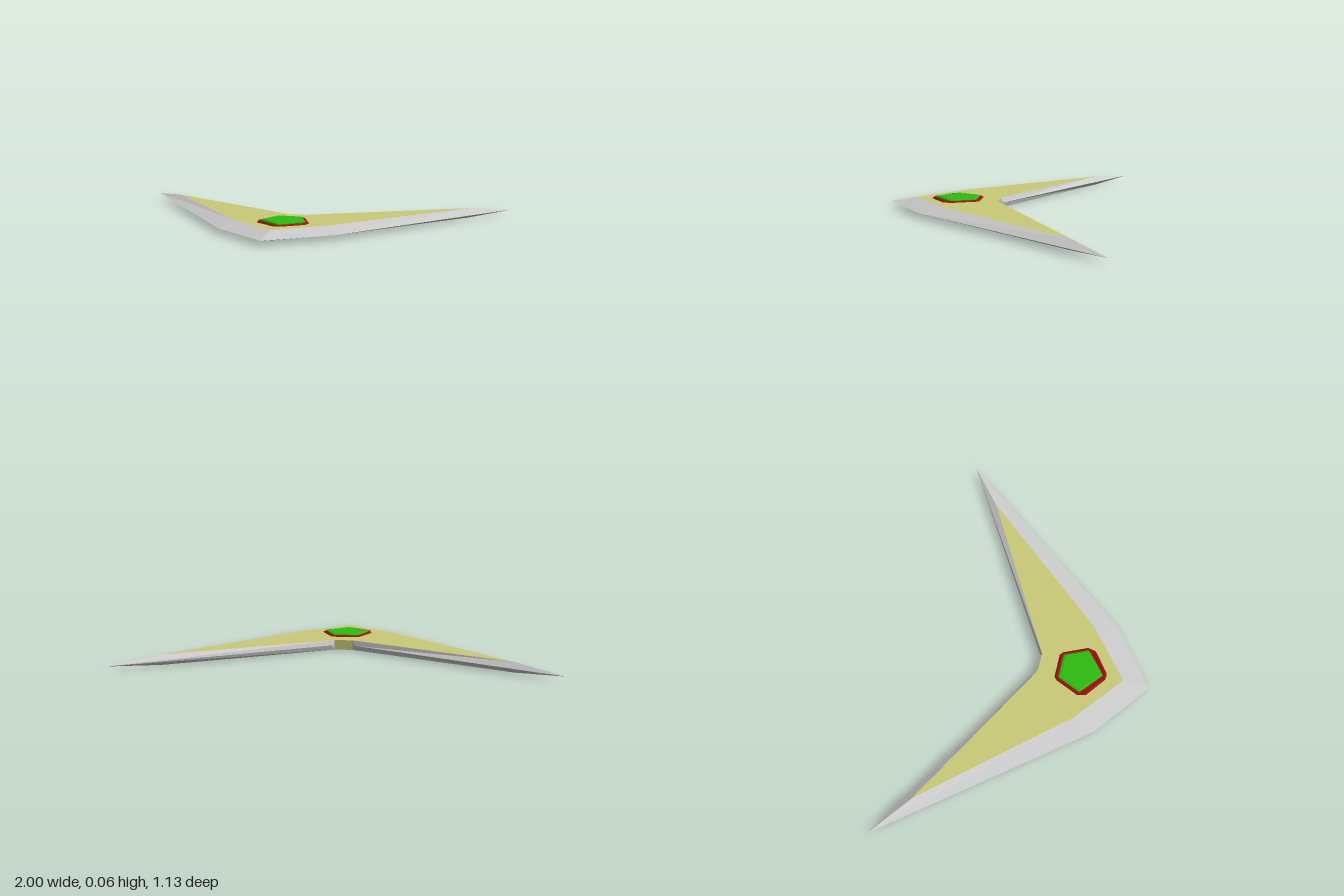
import * as THREE from 'three';

const TOP = 0.048, MID = 0.024;

// Half outlines [x, z] from the rear notch round to the nose
const INNER = [[0.045, 0.016], [0.8, -0.41], [0.245, 0.235], [0, 0.435]];
const EDGE = [[0.055, 0.0], [1, -0.57], [0.28, 0.35], [0, 0.565]];

// Mirror a half outline whose last point lies on x = 0
const mirror = (half) => [...half, ...half.slice(0, -1).reverse().map(([x, z]) => [-x, z])];

function meshFromTriangles(name, triangles, color) {
  const geometry = new THREE.BufferGeometry();
  geometry.setAttribute('position', new THREE.Float32BufferAttribute(triangles.flat(2), 3));
  geometry.computeVertexNormals();
  return named(name, geometry, color);
}

function named(name, geometry, color) {
  const mesh = new THREE.Mesh(geometry, new THREE.MeshStandardMaterial({ color, flatShading: true }));
  mesh.name = name;
  return mesh;
}

// Flat V-shaped core plate
function corePlate() {
  const shape = new THREE.Shape(mirror(INNER).map(([x, z]) => new THREE.Vector2(x, z)));
  const geometry = new THREE.ExtrudeGeometry(shape, { depth: TOP, bevelEnabled: false });
  geometry.rotateX(Math.PI / 2).translate(0, TOP, 0);
  return named('corePlate', geometry, 0xcaca78);
}

// Wedge-section blade running round the plate, open only at the rear notch
function bladeEdge() {
  const at = (points, y) => mirror(points).map(([x, z]) => [x, y, z]);
  const top = at(INNER, TOP), bottom = at(INNER, 0), edge = at(EDGE, MID);
  const last = edge.length - 1;
  const triangles = [
    [top[0], edge[0], bottom[0]],
    [top[last], bottom[last], edge[last]],
  ];
  for (let i = 0; i < last; i++) {
    const j = i + 1;
    triangles.push([top[i], edge[j], edge[i]], [top[i], top[j], edge[j]]);
    triangles.push([bottom[i], edge[i], edge[j]], [bottom[i], edge[j], bottom[j]]);
  }
  return meshFromTriangles('bladeEdge', triangles, 0xcccccc);
}

// Stack of scaled outlines [y, scale] about the gem centre, capped at the end
function bevelledPlate(name, half, layers, color) {
  const cz = 0.225;
  const outline = mirror(half);
  const rings = layers.map(([y, s]) => outline.map(([x, z]) => [x * s, y, cz + (z - cz) * s]));
  const triangles = [];
  const n = outline.length;
  for (let i = 0; i < n; i++) {
    const j = (i + 1) % n;
    for (let k = 0; k + 1 < rings.length; k++) {
      const a = rings[k], b = rings[k + 1];
      triangles.push([a[i], b[i], b[j]], [a[i], b[j], a[j]]);
    }
    const cap = rings[rings.length - 1];
    triangles.push([[0, cap[0][1], cz], cap[j], cap[i]]);
  }
  return meshFromTriangles(name, triangles, color);
}

export function createModel() {
  const model = new THREE.Group();
  model.name = 'throwingBlade';
  model.add(corePlate(), bladeEdge());

  // Five-sided setting with clipped corners, and the gem inside it
  const setting = [[0.058, 0.103], [0.075, 0.117], [0.126, 0.232], [0.117, 0.272], [0.018, 0.347], [0, 0.35]];
  const gem = [[0.06, 0.122], [0.111, 0.238], [0, 0.332]];
  model.add(
    bevelledPlate('gemSetting', setting, [[TOP, 1], [0.054, 0.94], [0.054, 0.88], [0.05, 0.86]], 0x9c1010),
    bevelledPlate('gem', gem, [[TOP, 1], [0.056, 1], [0.06, 0.9]], 0x2eba10),
  );
  return model;
}
